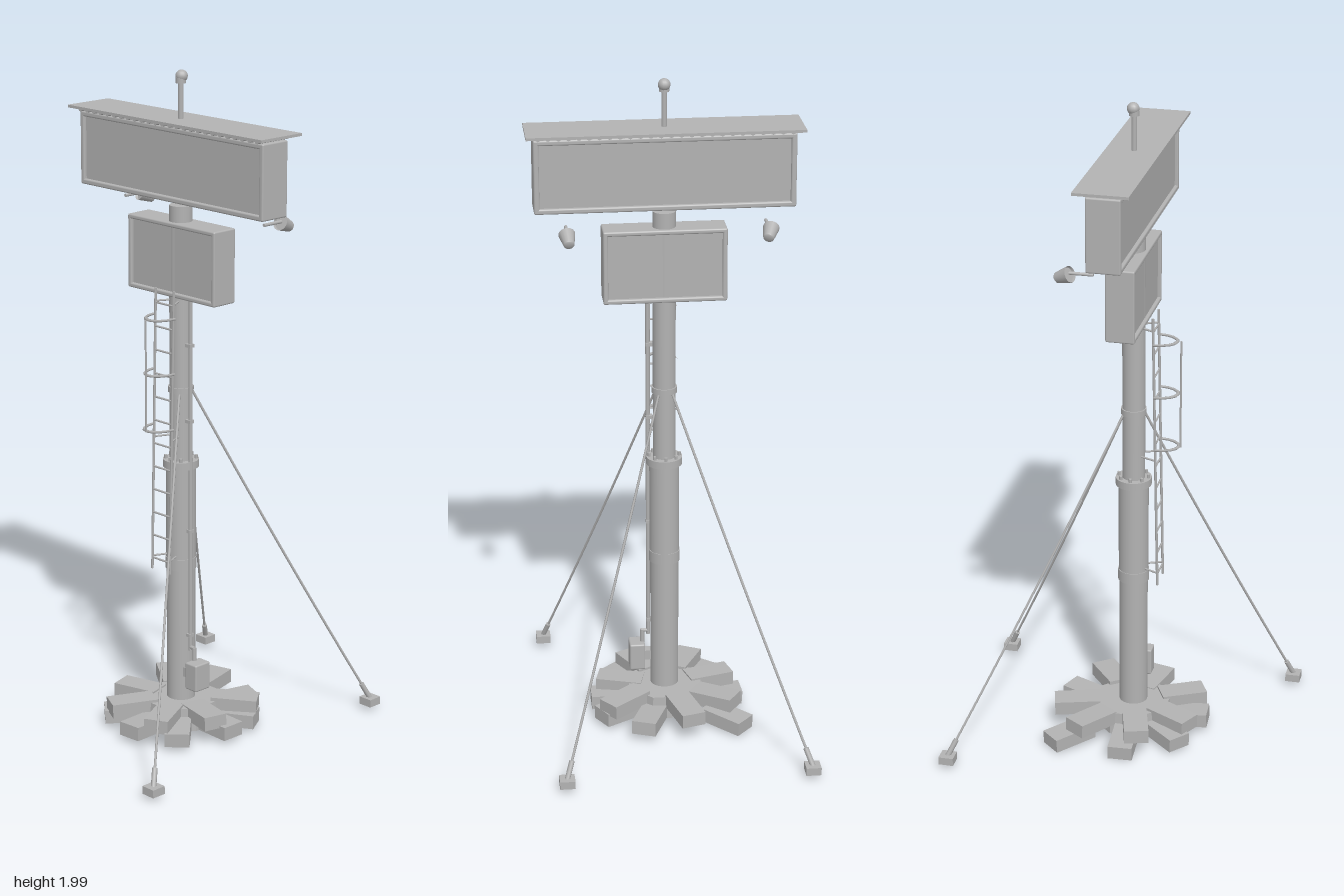
import * as THREE from 'three';
import { RoundedBoxGeometry } from 'three/addons/geometries/RoundedBoxGeometry.js';

const grey = new THREE.MeshStandardMaterial({ color: 0xb2b2b2 });
grey.name = 'weathered grey';
const greyOpen = grey.clone();
greyOpen.side = THREE.DoubleSide;

const CX = 0.003, CZ = 0.018; // axis of the pole

export function createModel() {
  const root = new THREE.Group();
  root.name = 'signTower';

  const add = (name, geo, x = 0, y = 0, z = 0, parent = root, mat = grey) => {
    const m = new THREE.Mesh(geo, mat);
    m.name = name;
    m.position.set(x, y, z);
    parent.add(m);
    return m;
  };
  const group = (name) => {
    const g = new THREE.Group();
    g.name = name;
    root.add(g);
    return g;
  };
  // Upright cylinder on the pole axis between two heights
  const post = (name, r, y0, y1, sides = 24) =>
    add(name, new THREE.CylinderGeometry(r, r, y1 - y0, sides), CX, (y0 + y1) / 2, CZ);
  // Round bar between two points
  const bar = (name, a, b, r, parent = root, sides = 6) => {
    const p = new THREE.Vector3(...a), q = new THREE.Vector3(...b);
    const m = add(name, new THREE.CylinderGeometry(r, r, p.distanceTo(q), sides), 0, 0, 0, parent);
    m.position.copy(p).add(q).multiplyScalar(0.5);
    m.quaternion.setFromUnitVectors(new THREE.Vector3(0, 1, 0), q.sub(p).normalize());
    return m;
  };

  // Pole
  post('lowerPole', 0.043, 0.05, 0.82);
  post('poleSleeve', 0.045, 0.54, 0.82);
  post('poleBand', 0.047, 0.505, 0.54);
  post('upperPole', 0.034, 0.82, 1.61);
  post('collar', 0.054, 0.822, 0.845);
  for (let i = 0; i < 8; i++) {
    const a = (i / 8) * Math.PI * 2;
    add('collarBolt', new THREE.CylinderGeometry(0.005, 0.005, 0.012, 6),
      CX + Math.cos(a) * 0.045, 0.85, CZ + Math.sin(a) * 0.045);
  }

  // Framed sign boxes with recessed panels on both faces
  const sign = (name, w, h, d, y, rim) => {
    const g = group(name);
    g.position.set(CX, y, CZ);
    add(name + 'Body', new THREE.BoxGeometry(w - 0.008, h - 0.008, d - 0.02), 0, 0, 0, g);
    for (const s of [-1, 1]) {
      add(name + 'SideFrame', new RoundedBoxGeometry(rim, h, d, 2, 0.005), s * (w - rim) / 2, 0, 0, g);
      add(name + 'EdgeFrame', new RoundedBoxGeometry(w, rim, d, 2, 0.005), 0, s * (h - rim) / 2, 0, g);
    }
  };
  sign('upperSign', 0.752, 0.218, 0.1, 1.733, 0.016);
  sign('lowerSign', 0.36, 0.22, 0.086, 1.453, 0.014);

  // Roof sheet with ribs beneath
  add('roof', new THREE.BoxGeometry(0.795, 0.008, 0.16), CX, 1.856, 0.016);
  for (let i = 0; i < 26; i++) {
    const rib = add('roofRib', new THREE.CylinderGeometry(0.008, 0.008, 0.122, 8), CX + (i - 12.5) * 0.029, 1.85, CZ);
    rib.rotation.x = Math.PI / 2;
  }

  // Beacon mast
  post('beaconMast', 0.008, 1.855, 1.97, 10);
  post('beaconBase', 0.015, 1.962, 1.978, 12);
  add('beaconLamp', new THREE.SphereGeometry(0.018, 14, 10), CX, 1.982, CZ - 0.003);

  // Floodlights aimed up at the sign from behind
  for (const [x, lean] of [[0.29, 0.08], [-0.285, -0.3]]) {
    const g = group('floodlight');
    bar('floodlightArm', [x, 1.587, -0.03], [x, 1.587, -0.1], 0.005, g, 8);
    const axis = new THREE.Vector3(lean, 0.4, 0.9).normalize();
    const head = add('floodlightHead', new THREE.CylinderGeometry(0.024, 0.016, 0.045, 14, 1, true), x, 1.577, -0.115, g, greyOpen);
    head.quaternion.setFromUnitVectors(new THREE.Vector3(0, 1, 0), axis);
    add('floodlightBack', new THREE.SphereGeometry(0.016, 12, 6, 0, Math.PI * 2, Math.PI / 2, Math.PI / 2), 0, -0.022, 0, head).scale.y = 0.4;
    add('floodlightLens', new THREE.CylinderGeometry(0.021, 0.021, 0.004, 14), 0, 0.014, 0, head);
  }

  // Ladder, leaning out slightly toward its foot
  const ladder = group('ladder');
  const railZ = (y) => 0.1 - (y - 0.51) * 0.02;
  for (const s of [-1, 1]) {
    const x = CX + s * 0.038;
    bar('ladderRail', [x, 0.51, railZ(0.51)], [x, 1.37, railZ(1.37)], 0.004, ladder);
    for (const y of [0.55, 0.92, 1.33])
      bar('ladderBracket', [x, y, railZ(y)], [CX + s * 0.018, y, y < 0.8 ? 0.055 : 0.045], 0.003, ladder);
  }
  for (let i = 0; i < 12; i++) {
    const y = 0.545 + i * 0.071;
    bar('ladderRung', [CX - 0.038, y, railZ(y)], [CX + 0.038, y, railZ(y)], 0.003, ladder);
  }
  // Safety cage
  for (const y of [0.957, 1.125, 1.29]) {
    const hoop = new THREE.TorusGeometry(0.044, 0.004, 5, 8, Math.PI);
    hoop.scale(1, 1.45, 1);
    hoop.rotateX(Math.PI / 2);
    add('cageHoop', hoop, CX, y, railZ(y), ladder);
  }
  bar('cageBar', [CX, 0.955, 0.159], [CX, 1.292, 0.159], 0.003, ladder);

  // Cable conduit and control box
  bar('conduit', [0.052, 0.25, 0.026], [0.052, 1.34, 0.026], 0.006, root, 8);
  bar('conduitFoot', [0.07, 0.2, 0.028], [0.07, 0.265, 0.028], 0.007, root, 8);
  bar('conduitElbow', [0.052, 0.262, 0.026], [0.072, 0.262, 0.028], 0.006, root, 8);
  for (const y of [0.3, 0.63, 0.97, 1.2])
    add('conduitClip', new THREE.BoxGeometry(0.02, 0.01, 0.018), 0.048, y, 0.026);
  add('controlBox', new RoundedBoxGeometry(0.047, 0.085, 0.06, 2, 0.005), 0.087, 0.182, 0.03);
  add('controlBoxMount', new THREE.BoxGeometry(0.04, 0.03, 0.03), 0.05, 0.182, 0.028);

  // Guy wires with ground anchors
  for (const [x, z] of [[-0.384, -0.466], [0.34, -0.466], [0.35, 0.461]]) {
    const g = group('guyWire');
    const out = new THREE.Vector3(x - CX, 0, z - CZ).normalize();
    const top = new THREE.Vector3(CX, 1.06, CZ).addScaledVector(out, 0.03);
    const foot = new THREE.Vector3(x, 0.04, z);
    const mid = top.clone().lerp(foot, 0.5);
    mid.y -= 0.025;
    add('wire', new THREE.TubeGeometry(new THREE.QuadraticBezierCurve3(top, mid, foot), 12, 0.0038, 6), 0, 0, 0, g);
    const grip = foot.clone().lerp(mid, 0.1);
    bar('turnbuckle', foot.toArray(), grip.toArray(), 0.008, g, 8);
    add('anchorBlock', new THREE.BoxGeometry(0.045, 0.024, 0.045), x, 0.032, z, g);
  }
  add('wireRing', new THREE.CylinderGeometry(0.038, 0.038, 0.018, 20), CX, 1.06, CZ);

  // Footing: eight-sided hub ringed by rough slabs in two layers
  const hub = add('footingHub', new THREE.CylinderGeometry(0.12, 0.125, 0.07, 8).toNonIndexed(), CX, 0.055, CZ);
  hub.geometry.computeVertexNormals();
  hub.rotation.y = Math.PI / 8;
  // outer end x, z, centre height, tilt
  const slabs = [
    [-0.222, -0.190, 0.036, 0.06], [-0.062, -0.216, 0.075, 0.02], [0.090, -0.207, 0.045, -0.05],
    [0.190, -0.124, 0.078, 0.03], [0.208, -0.100, 0.040, 0], [-0.200, -0.120, 0.075, -0.03],
    [-0.147, 0.196, 0.040, 0.04], [-0.100, 0.217, 0.076, 0.02], [0.020, 0.250, 0.042, -0.03],
    [0.105, 0.220, 0.076, 0], [0.162, 0.188, 0.042, 0.04], [-0.235, 0.030, 0.032, 0.06],
    [-0.205, 0.075, 0.074, 0], [0.230, 0.020, 0.042, 0.02], [0.205, 0.070, 0.074, -0.03],
  ];
  for (const [x, z, y, tilt] of slabs) {
    const a = Math.atan2(x - CX, z - CZ), len = 0.14;
    const m = add('footingSlab', new THREE.BoxGeometry(0.074, 0.042, len),
      x - Math.sin(a) * len / 2, y, z - Math.cos(a) * len / 2);
    m.rotation.set(tilt, a, 0, 'YXZ');
  }
  return root;
}
